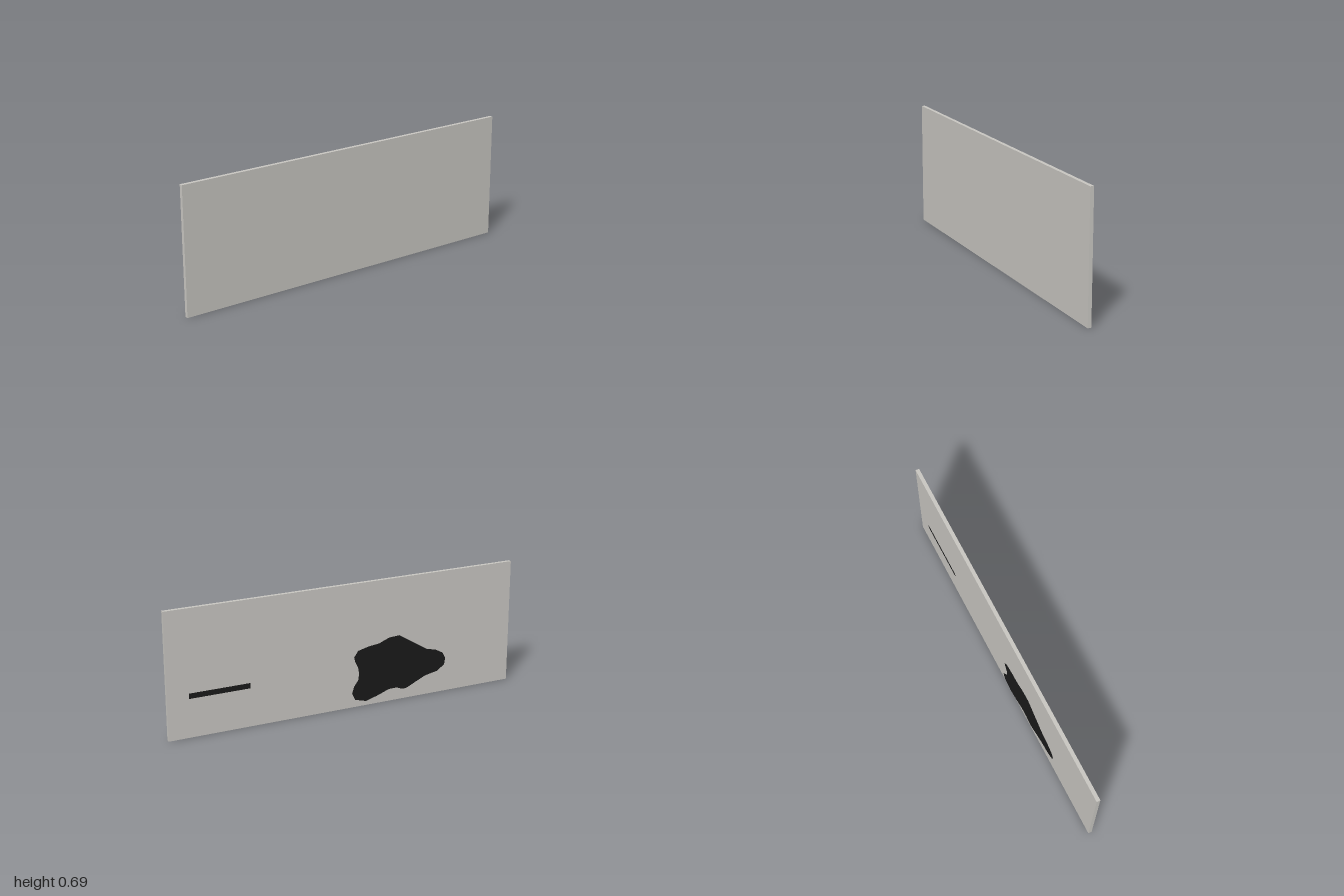
import * as THREE from 'three';

const panelGrey = new THREE.MeshStandardMaterial({ color: 0xc8c6c1 });
panelGrey.name = 'panelGrey';
const inkBlack = new THREE.MeshStandardMaterial({ color: 0x1a1a1a });
inkBlack.name = 'inkBlack';

// Flat face on the -x side; outline points are [z, y]
function face(name, points, material, x) {
  const shape = new THREE.Shape(points.map(([z, y]) => new THREE.Vector2(z, y)));
  const geometry = new THREE.ShapeGeometry(shape);
  geometry.rotateY(-Math.PI / 2);
  geometry.translate(x, 0, 0);
  const mesh = new THREE.Mesh(geometry, material);
  mesh.name = name;
  return mesh;
}

const rect = (z0, z1, y0, y1) => [[z0, y0], [z1, y0], [z1, y1], [z0, y1]];

export function createModel() {
  const model = new THREE.Group();
  model.name = 'signPanel';

  // Slab
  const slab = new THREE.Mesh(new THREE.BoxGeometry(0.02, 0.69, 2), panelGrey);
  slab.name = 'slab';
  slab.position.set(0.003, 0.345, 0);
  model.add(slab);

  // Plain inlay faces
  const inlays = [
    ['mainInlay', -0.92, -0.015, 0.352, 0.602],
    ['upperInlay', -0.205, 0.138, 0.443, 0.608],
    ['middleInlay', -0.918, -0.376, 0.237, 0.346],
    ['thinInlay', -0.553, -0.376, 0.223, 0.238],
    ['lowerInlay', -0.266, 0.027, 0.03, 0.135],
    ['tallInlay', 0.275, 0.327, 0.443, 0.624],
  ];
  inlays.forEach(([name, ...r], i) =>
    model.add(face(name, rect(...r), panelGrey, -0.011 - i * 0.0002)));

  // Dark strip
  model.add(face('darkStrip', rect(-0.884, -0.553, 0.214, 0.243), inkBlack, -0.013));

  // Dark irregular patch
  model.add(face('darkPatch', [
    [0.309, 0.369], [0.48, 0.264], [0.535, 0.251], [0.578, 0.227], [0.596, 0.193],
    [0.59, 0.157], [0.547, 0.126], [0.474, 0.112], [0.413, 0.085], [0.358, 0.059],
    [0.333, 0.057], [0.297, 0.071], [0.248, 0.07], [0.18, 0.045], [0.113, 0.025],
    [0.076, 0.035], [0.046, 0.043], [0.028, 0.081], [0.04, 0.119], [0.064, 0.152],
    [0.07, 0.188], [0.064, 0.222], [0.046, 0.26], [0.04, 0.285], [0.064, 0.319],
    [0.125, 0.334], [0.187, 0.341], [0.248, 0.365],
  ], inkBlack, -0.013));

  return model;
}
